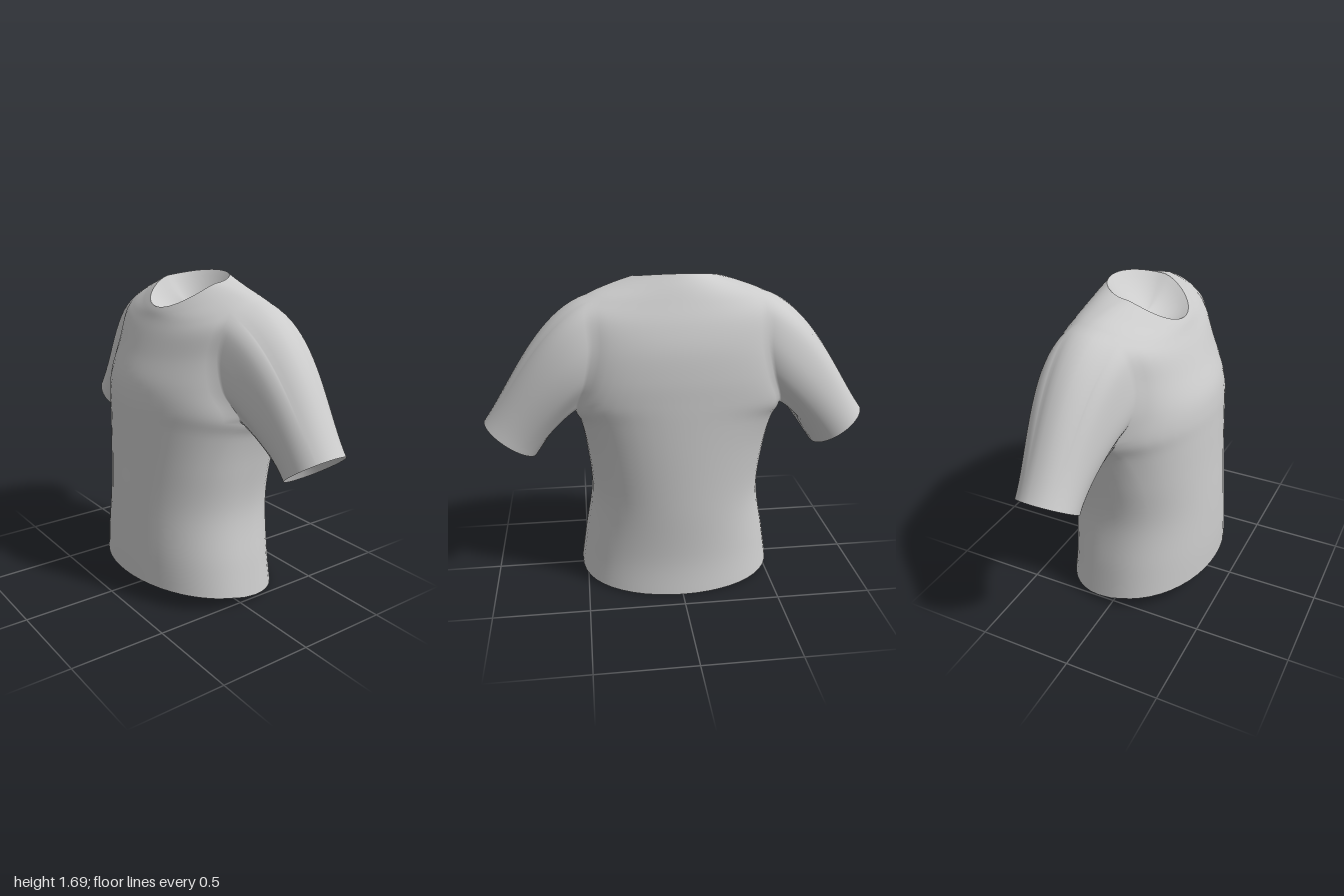
import * as THREE from 'three';

const COLS = 48;      // points around the body, starting at the front, towards the left side
const SUB = 6;        // rows between two key sections
const HOLE = { from: 8, to: 16, low: 5, high: 9 }; // armhole: columns and key sections
const STEPS = 20;     // rings along a sleeve

// Key sections from hem to neckline: frontY, frontZ, backY, backZ, sideX, sideY, sideZ,
// roundness of the back, armhole half angle, bend of the section's height
const SECTIONS = [
  [0.10, 0.41, 0.00, -0.41, 0.53, 0.045, 0.00, 0.8, 30, 0.65],
  [0.27, 0.41, 0.19, -0.395, 0.502, 0.23, 0.00, 0.8, 30, 0.8],
  [0.52, 0.40, 0.48, -0.405, 0.46, 0.50, 0.00, 0.8, 28, 1],
  [0.76, 0.385, 0.75, -0.41, 0.478, 0.75, -0.02, 0.72, 24, 1],
  [0.96, 0.375, 0.96, -0.41, 0.505, 0.92, -0.06, 0.6, 18, 1],
  [1.08, 0.367, 1.08, -0.408, 0.535, 1.01, -0.10, 0.5, 14, 1],
  [1.18, 0.345, 1.20, -0.403, 0.515, 1.17, -0.11, 0.4, 24, 1],
  [1.30, 0.29, 1.34, -0.385, 0.50, 1.36, -0.11, 0.4, 30, 1],
  [1.40, 0.245, 1.46, -0.348, 0.50, 1.53, -0.11, 0.5, 30, 1],
  [1.465, 0.213, 1.56, -0.30, 0.45, 1.58, -0.10, 0.7, 24, 1.1],
  [1.505, 0.195, 1.63, -0.262, 0.33, 1.625, -0.07, 0.9, 28, 1.2],
  [1.53, 0.18, 1.69, -0.22, 0.215, 1.655, -0.03, 1.0, 30, 1.3],
];
const ROWS = (SECTIONS.length - 1) * SUB;

// Smooth section between the keys
function sectionAt(t) {
  const last = SECTIONS.length - 1;
  const i = Math.min(Math.floor(t), last - 1), f = t - i;
  const key = (k) => SECTIONS[Math.max(0, Math.min(last, k))];
  return SECTIONS[0].map((_, c) => {
    const [a, b, d, e] = [key(i - 1)[c], key(i)[c], key(i + 1)[c], key(i + 2)[c]];
    const m0 = (d - a) / 2, m1 = (e - b) / 2;
    return b + m0 * f + (3 * (d - b) - 2 * m0 - m1) * f * f + (2 * (b - d) + m0 + m1) * f * f * f;
  });
}

// Angle of a column; the columns of the armhole spread over twice the half angle
function columnAngle(col, half) {
  const turn = col % (COLS / 2), base = col < COLS / 2 ? 0 : 180;
  const { from, to } = HOLE, edge = 90 - half;
  let degrees = 90 + half * (turn - COLS / 4) / (to - COLS / 4);
  if (turn < from) degrees = edge * turn / from;
  if (turn > to) degrees = 180 - edge * (COLS / 2 - turn) / from;
  return THREE.MathUtils.degToRad(base + degrees);
}

function bodyPoint(section, col) {
  const [fy, fz, by, bz, sx, sy, sz, round, half, bend] = section;
  const angle = columnAngle(col, half);
  const c = Math.cos(angle), depth = Math.abs(c);
  const [y, z] = c > 0 ? [fy, fz] : [by, bz];
  const power = c > 0 ? Math.min(1, 0.55 + round / 2) : round; // the back is flatter
  return new THREE.Vector3(
    sx * Math.sin(angle),
    sy + (y - sy) * depth ** bend,
    sz + (z - sz) * depth ** power,
  );
}

function quad(index, a, b, c, d) {
  index.push(a, b, c, a, c, d);
}

// Vertex numbers around an armhole: over the top, down, under the arm, up again
function armholeLoop(offset) {
  const { from, to } = HOLE, low = HOLE.low * SUB, high = HOLE.high * SUB;
  const id = (row, col) => row * COLS + col + offset;
  const loop = [];
  for (let c = to; c > from; c--) loop.push(id(high, c));
  for (let r = high; r > low; r--) loop.push(id(r, from));
  for (let c = from; c < to; c++) loop.push(id(low, c));
  for (let r = low; r < high; r++) loop.push(id(r, to));
  return loop;
}

// Sleeve: curves from each armhole vertex to a matching point on the round cuff
function addSleeve(points, offset, side) {
  const index = [];
  const up = new THREE.Vector3(0.26 * side, 0.19, 0).normalize();
  const along = new THREE.Vector3(0.19 * side, -0.26, 0).normalize();
  const loop = armholeLoop(offset);
  const n = loop.length;
  const curves = loop.map((id) => {
    const root = points[id];
    const a = Math.atan2((root.z + 0.11) / 0.22, (root.y - 1.29) / 0.28);
    const cuff = new THREE.Vector3(0.87 * side, 0.845, -0.125 + 0.155 * Math.sin(a))
      .addScaledVector(up, 0.161 * Math.cos(a));
    const reach = 0.3 * root.distanceTo(cuff);
    const w = (1 + Math.cos(a)) / 2;
    const leave = new THREE.Vector3((0.6 + 0.4 * w) * side, -0.3, -0.22 * Math.abs(Math.sin(a)));
    return new THREE.CubicBezierCurve3(
      root,
      root.clone().addScaledVector(leave, reach),
      cuff.clone().addScaledVector(along, -reach),
      cuff,
    );
  });
  let rim = loop;
  for (let s = 1; s <= STEPS; s++) {
    const ring = curves.map((curve) => points.push(curve.getPoint(s / STEPS)) - 1);
    for (let i = 0; i < n; i++) {
      const j = (i + 1) % n;
      quad(index, rim[i], rim[j], ring[j], ring[i]);
    }
    rim = ring;
  }
  return { index, rim: rim.map((id) => points[id]), inward: along.multiplyScalar(-0.07) };
}

// Bowl-shaped lining that closes an opening, sunk inwards from its rim
function liningGeometry(rim, inward) {
  const rings = 8, n = rim.length, points = [], index = [];
  const centre = rim.reduce((sum, p) => sum.add(p), new THREE.Vector3()).divideScalar(n);
  for (let r = 0; r <= rings; r++) {
    const s = 1 - r / rings;
    for (const p of rim) {
      points.push(centre.clone().lerp(p, s).addScaledVector(inward, 1 - s ** 2));
    }
  }
  for (let r = 0; r < rings; r++) {
    for (let i = 0; i < n; i++) {
      const j = (i + 1) % n;
      quad(index, r * n + i, r * n + j, (r + 1) * n + j, (r + 1) * n + i);
    }
  }
  const geometry = new THREE.BufferGeometry().setFromPoints(points);
  geometry.setIndex(index);
  geometry.computeVertexNormals();
  return geometry;
}

export function createModel() {
  const group = new THREE.Group();
  group.name = 'tShirt';
  const cloth = new THREE.MeshStandardMaterial({ color: 0xcccccc, side: THREE.DoubleSide });
  const add = (name, geometry) => {
    const mesh = new THREE.Mesh(geometry, cloth);
    mesh.name = name;
    group.add(mesh);
  };
  const points = [];
  const body = [];

  // Body rings from hem to neckline
  for (let r = 0; r <= ROWS; r++) {
    const section = sectionAt(r / SUB);
    for (let c = 0; c < COLS; c++) points.push(bodyPoint(section, c));
  }
  const hem = points.slice(0, COLS), neckline = points.slice(-COLS);

  // Body faces, leaving out both armholes
  for (let r = 0; r < ROWS; r++) {
    for (let c = 0; c < COLS; c++) {
      const half = c % (COLS / 2);
      const open = half >= HOLE.from && half < HOLE.to
        && r >= HOLE.low * SUB && r < HOLE.high * SUB;
      if (open) continue;
      const d = (c + 1) % COLS;
      quad(body, r * COLS + c, r * COLS + d, (r + 1) * COLS + d, (r + 1) * COLS + c);
    }
  }
  const left = addSleeve(points, 0, 1);
  const right = addSleeve(points, COLS / 2, -1);

  // Normals are computed over the whole garment so the sleeves blend into the body
  const parts = { body, leftSleeve: left.index, rightSleeve: right.index };
  const whole = new THREE.BufferGeometry().setFromPoints(points);
  whole.setIndex(Object.values(parts).flat());
  whole.computeVertexNormals();
  for (const [name, index] of Object.entries(parts)) {
    const geometry = new THREE.BufferGeometry();
    geometry.setAttribute('position', whole.getAttribute('position'));
    geometry.setAttribute('normal', whole.getAttribute('normal'));
    geometry.setIndex(index);
    add(name, geometry);
  }

  // Linings in the openings
  add('neckLining', liningGeometry(neckline, new THREE.Vector3(0, -0.1, 0)));
  add('hemLining', liningGeometry(hem, new THREE.Vector3(0, 0.06, 0)));
  add('leftCuffLining', liningGeometry(left.rim, left.inward));
  add('rightCuffLining', liningGeometry(right.rim, right.inward));
  return group;
}
